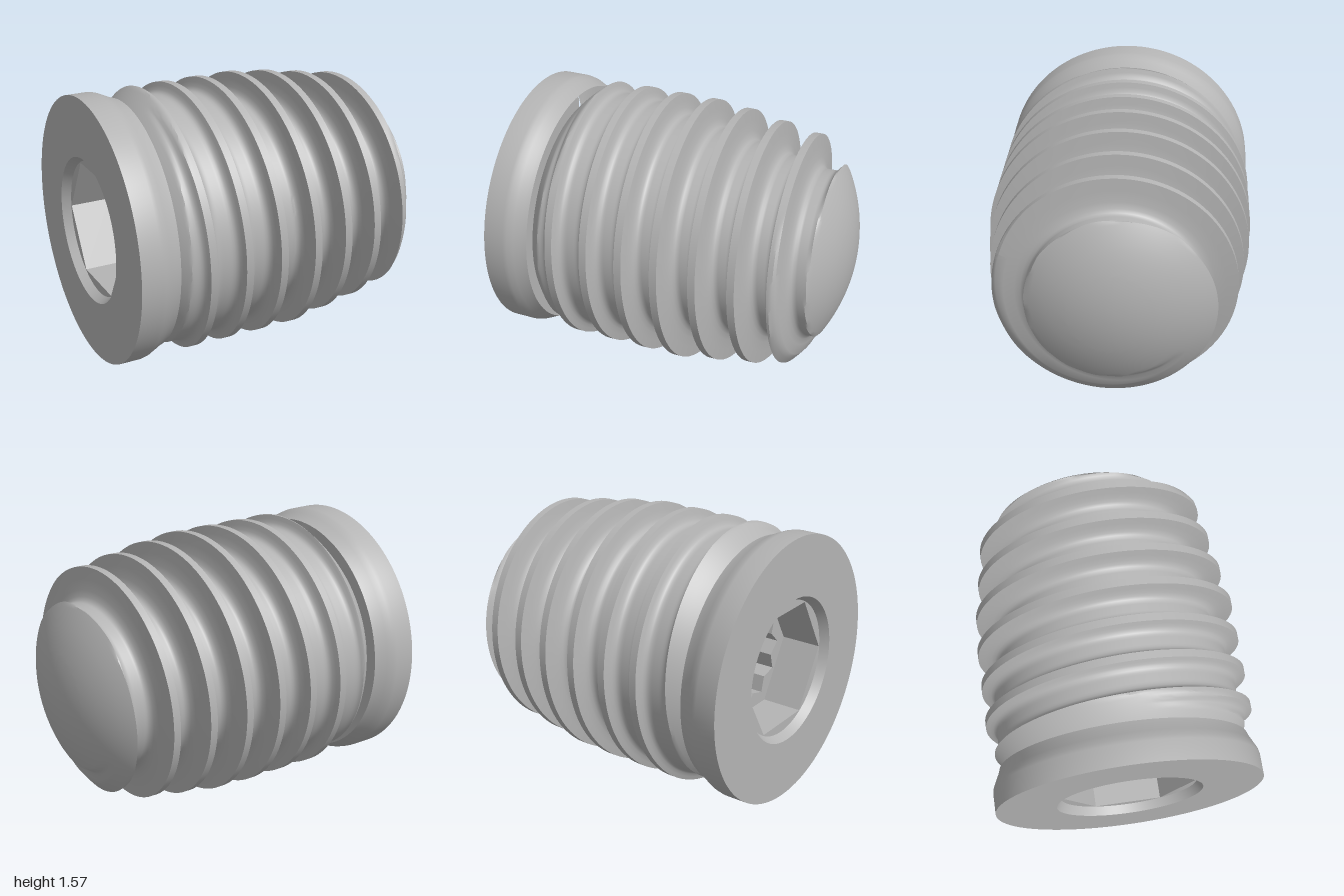
import * as THREE from 'three';
import { toCreasedNormals } from 'three/addons/utils/BufferGeometryUtils.js';

const CY = 0.785;      // height of the long axis
const PITCH = 0.218;   // thread advance per turn
const START = -0.63;   // thread crest at the top of turn 0
const SEG = 128;

// Core radius along x: near parallel at first, then tapering
const CORE = [[-0.75, 0.735], [-0.6, 0.725], [-0.32, 0.707], [-0.2, 0.68], [1.2, 0.42]];
function coreRadius(x) {
  if (x <= CORE[0][0]) return CORE[0][1];
  for (let i = 1; i < CORE.length; i++) {
    const [x0, r0] = CORE[i - 1], [x1, r1] = CORE[i];
    if (x <= x1) return r0 + (r1 - r0) * (x - x0) / (x1 - x0);
  }
  return CORE[CORE.length - 1][1];
}
const crestRadius = (x) => 0.785 - 0.16 * Math.max(0, x - 0.1);

// One side of the thread section: [offset from crest, height share]
const HALF = [[0.008, 1], [0.022, 1], [0.03, 0.64], [0.038, 0.32], [0.048, 0.14], [0.06, 0.04],
  [0.075, 0], [0.087, 0], [0.098, 0], [0.109, 0]];
const SECTION = [...HALF.map(([o, h]) => [-o, h]).reverse(), ...HALF];

// A point [x, r] on the thread surface; a unit sphere trims the tip
function threadPoint(turn, theta, offset, height) {
  const xc = START + PITCH * (turn + theta / (2 * Math.PI));
  const x = THREE.MathUtils.clamp(xc + offset, -0.75, 0.97);
  const core = coreRadius(xc + Math.sign(offset) * PITCH / 2);
  const h = height * THREE.MathUtils.smoothstep(xc, -0.74, -0.64);
  const r = core + (crestRadius(xc) - core) * h;
  return [x, Math.min(r, Math.sqrt(1 - x * x))];
}

function bodyGeometry() {
  const rows = [];
  // socket lip, end face and collar
  for (const p of [[-0.95, 0.4], [-1, 0.43], [-1, 0.785], [-0.88, 0.785], [-0.855, 0.78],
    [-0.82, 0.764], [-0.78, 0.745], [-0.75, 0.735]]) rows.push(() => p);
  // helical thread
  for (let k = -1; k <= 7; k++) {
    for (const [o, h] of SECTION) rows.push((t) => threadPoint(k, t, o, h));
  }
  // domed tip
  const a0 = Math.acos(0.97);
  for (let i = 1; i <= 6; i++) {
    const a = a0 * (1 - i / 6);
    rows.push(() => [Math.cos(a), Math.sin(a)]);
  }
  const pos = [], index = [];
  rows.forEach((row, i) => {
    for (let j = 0; j <= SEG; j++) {
      const t = j / SEG * 2 * Math.PI;
      const [x, r] = row(t);
      pos.push(x, CY + r * Math.cos(t), r * Math.sin(t));
      if (i && j) {
        const d = i * (SEG + 1) + j, c = d - 1, b = d - SEG - 1, a = b - 1;
        index.push(a, b, c, b, d, c);
      }
    }
  });
  const g = new THREE.BufferGeometry();
  g.setAttribute('position', new THREE.Float32BufferAttribute(pos, 3));
  g.setIndex(index);
  return toCreasedNormals(g, 0.6);
}

// Closed loop of n points, radius alternating between two values
function loop(n, rA, rB = rA) {
  return Array.from({ length: n }, (_, i) => {
    const a = i / n * 2 * Math.PI, r = i % 2 ? rB : rA;
    return new THREE.Vector2(r * Math.cos(a), r * Math.sin(a));
  });
}

// Slab inside the body pierced by a socket outline
function socketGeometry(outline, x0, x1, outer) {
  const shape = new THREE.Shape(loop(48, outer));
  shape.holes.push(new THREE.Path(outline));
  const g = new THREE.ExtrudeGeometry(shape, { depth: x1 - x0, bevelEnabled: false });
  return g.rotateY(Math.PI / 2).translate(x0, CY, 0);
}

export function createModel() {
  const metal = new THREE.MeshStandardMaterial({ color: 0xb4b4b4 });
  metal.name = 'grey metal';
  const group = new THREE.Group();
  group.name = 'threadedPlug';
  const add = (name, geometry) => {
    const mesh = new THREE.Mesh(geometry, metal);
    mesh.name = name;
    group.add(mesh);
  };

  add('threadedBody', bodyGeometry());
  add('hexSocket', socketGeometry(loop(6, 0.395), -0.95, -0.71, 0.46));
  add('splineSocket', socketGeometry(loop(24, 0.32, 0.26), -0.71, -0.4, 0.46));
  add('socketFloor', new THREE.CircleGeometry(0.4, 48).rotateY(-Math.PI / 2).translate(-0.4, CY, 0));
  return group;
}
